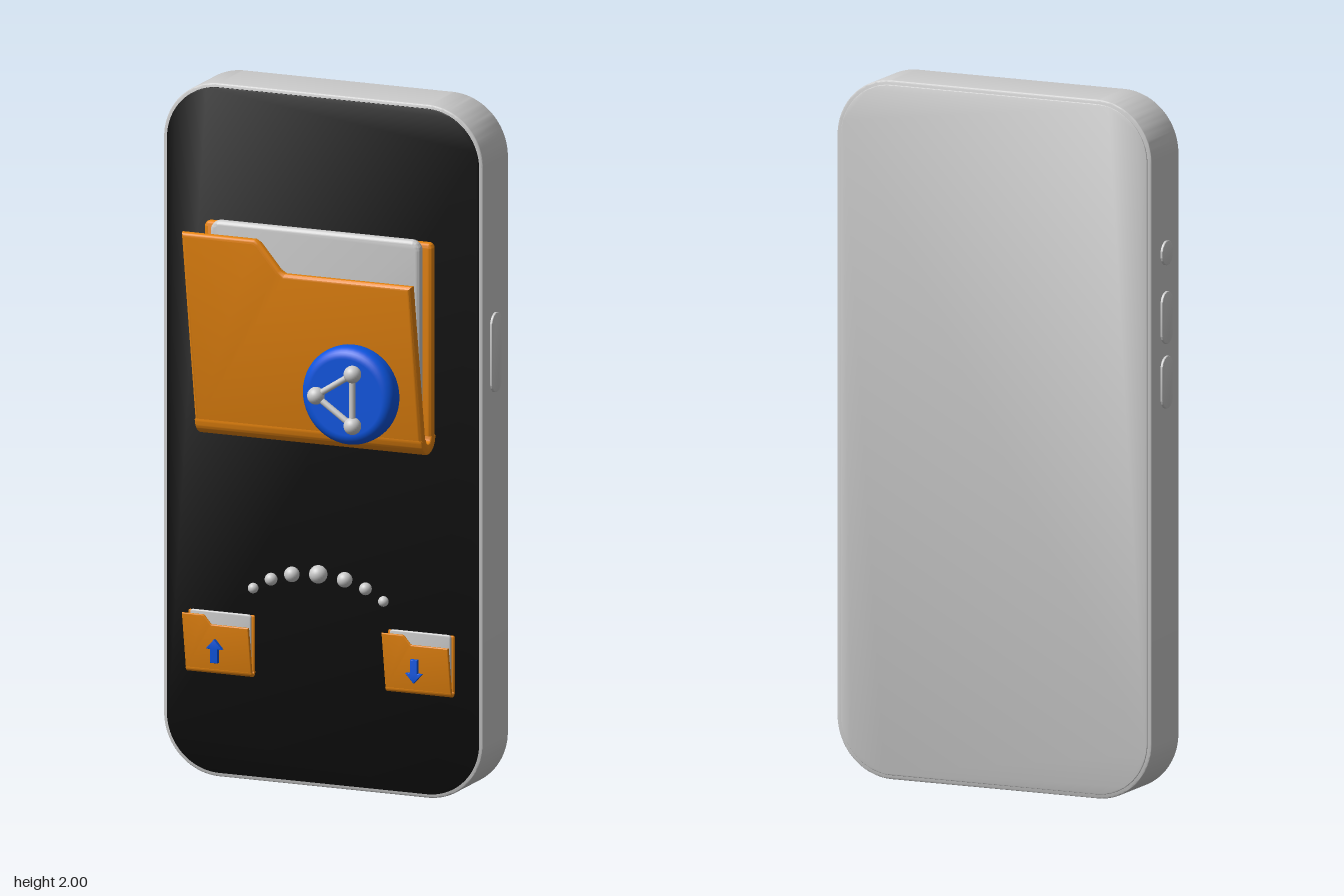
import * as THREE from 'three';
import { toCreasedNormals } from 'three/addons/utils/BufferGeometryUtils.js';

const mat = (color) => new THREE.MeshStandardMaterial({ color });
const grey = mat(0xcccccc), black = mat(0x0b0b0b), orange = mat(0xe8850f), blue = mat(0x0c55e0);

function add(parent, name, geometry, material) {
  const mesh = new THREE.Mesh(geometry, material);
  mesh.name = name;
  parent.add(mesh);
  return mesh;
}

// Rectangle with rounded corners, centred on (cx, cy)
function roundedRect(w, h, r, cx = 0, cy = 0) {
  const s = new THREE.Shape(), x = w / 2 - r, y = h / 2 - r;
  s.absarc(cx + x, cy + y, r, 0, Math.PI / 2);
  s.absarc(cx - x, cy + y, r, Math.PI / 2, Math.PI);
  s.absarc(cx - x, cy - y, r, Math.PI, Math.PI * 1.5);
  s.absarc(cx + x, cy - y, r, Math.PI * 1.5, Math.PI * 2);
  s.closePath();
  return s;
}

const polygon = (points) => new THREE.Shape(points.map(([x, y]) => new THREE.Vector2(x, y)));

// Plate from z0 to z1 with rounded rims; slope leans it forward with height
function plate(shape, z0, z1, bevel, slope = 0) {
  const g = new THREE.ExtrudeGeometry(shape, {
    depth: z1 - z0 - 2 * bevel, bevelEnabled: bevel > 0, bevelSize: bevel, bevelThickness: bevel,
    bevelOffset: -bevel, bevelSegments: 4, curveSegments: 16,
  });
  g.translate(0, 0, z0 + bevel);
  if (slope) {
    const p = g.attributes.position;
    for (let i = 0; i < p.count; i++) p.setZ(i, p.getZ(i) + slope * (p.getY(i) - 0.049));
  }
  return toCreasedNormals(g, 0.6);
}

// Open folder with a sheet inside; its base sits on y = 0
function folder(name) {
  const group = new THREE.Group();
  group.name = name;
  add(group, 'folderBack', plate(roundedRect(0.70, 0.575, 0.016, 0, 0.3175), -0.048, -0.016, 0.013), orange);
  const front = polygon([[-0.35, 0.03], [0.35, 0.03], [0.35, 0.51], [-0.04, 0.51],
    [-0.055, 0.52], [-0.11, 0.595], [-0.125, 0.605], [-0.35, 0.605]]);
  add(group, 'folderFront', plate(front, 0.018, 0.05, 0.013, 0.17), orange);
  // Bent strip joining the two covers
  const bend = new THREE.Shape();
  bend.absarc(0.001, 0.049, 0.049, Math.PI, Math.PI * 2, false);
  bend.absarc(0.001, 0.049, 0.017, Math.PI * 2, Math.PI, true);
  bend.closePath();
  const fold = plate(bend, -0.35, 0.35, 0.006);
  fold.rotateY(-Math.PI / 2);
  add(group, 'folderFold', fold, orange);
  add(group, 'paper', plate(roundedRect(0.645, 0.545, 0.03, 0.01, 0.347), -0.004, 0.028, 0.013), grey);
  return group;
}

export function createModel() {
  const model = new THREE.Group();
  model.name = 'phoneWithFolders';

  // Phone body, screen and back panel
  const phone = new THREE.Group();
  phone.name = 'phone';
  model.add(phone);
  add(phone, 'body', plate(roundedRect(0.98, 2, 0.17, 0, 1), -0.233, -0.055, 0.005), grey);
  add(phone, 'screen', plate(roundedRect(0.958, 1.978, 0.16, 0, 1), -0.07, -0.053, 0.001), black);
  add(phone, 'backPanel', plate(roundedRect(0.955, 1.975, 0.158, 0, 1), -0.236, -0.22, 0.002), grey);

  // Side buttons: [side, centre height, length]
  for (const [side, y, length] of [[1, 1.285, 0.23], [-1, 1.56, 0.07], [-1, 1.375, 0.15], [-1, 1.19, 0.15]]) {
    const g = plate(roundedRect(0.07, length, 0.0345), -0.01, 0.007, 0.003);
    g.rotateY(side * Math.PI / 2);
    add(phone, 'sideButton', g, grey).position.set(side * 0.49, y, -0.14);
  }

  // Large folder
  const large = folder('largeFolder');
  large.position.y = 1.005;
  model.add(large);

  // Round badge
  const badge = new THREE.Group();
  badge.name = 'shareBadge';
  model.add(badge);
  const profile = [new THREE.Vector2(0, 0)], r = 0.032;
  for (const [y, a0] of [[r, -Math.PI / 2], [0.079 - r, 0]]) {
    for (let i = 0; i <= 8; i++) {
      const a = a0 + (i / 8) * Math.PI / 2;
      profile.push(new THREE.Vector2(0.142 - r + r * Math.cos(a), y + r * Math.sin(a)));
    }
  }
  profile.push(new THREE.Vector2(0, 0.079));
  const disc = new THREE.LatheGeometry(profile, 48);
  disc.rotateX(Math.PI / 2);
  add(badge, 'badgeDisc', disc, blue).position.set(0.175, 1.194, 0.106);

  // Triangle of balls and rods in front of the badge
  const nodes = [[0.206, 1.268], [0.206, 1.119], [0.094, 1.196]].map(([x, y]) => new THREE.Vector3(x, y, 0.207));
  nodes.forEach((a, i) => {
    const b = nodes[(i + 1) % 3];
    add(badge, 'ball', new THREE.SphereGeometry(0.025, 24, 16), grey).position.copy(a);
    const rod = add(badge, 'rod', new THREE.CylinderGeometry(0.009, 0.009, a.distanceTo(b), 16), grey);
    rod.position.copy(a).lerp(b, 0.5);
    rod.quaternion.setFromUnitVectors(new THREE.Vector3(0, 1, 0), b.clone().sub(a).normalize());
  });

  // Arc of dots, largest in the middle
  [[0, 0.622, 0.026], [0.081, 0.614, 0.022], [0.145, 0.594, 0.018], [0.2, 0.563, 0.015]].forEach(([x, y, radius]) => {
    for (const side of x ? [-1, 1] : [1]) {
      add(model, 'transferDot', new THREE.SphereGeometry(radius, 24, 16), grey).position.set(side * x, y, -0.021);
    }
  });

  // Small folders, one with an up arrow and one with a down arrow
  const arrow = polygon([[-0.011, -0.034], [0.011, -0.034], [0.011, 0.006], [0.025, 0.006],
    [0, 0.034], [-0.025, 0.006], [-0.011, 0.006]]);
  for (const [name, x, turn] of [['uploadFolder', -0.308, 0], ['downloadFolder', 0.305, Math.PI]]) {
    const small = folder(name);
    small.scale.setScalar(0.29);
    small.position.set(x, 0.302, -0.039);
    model.add(small);
    const mark = add(model, name + 'Arrow', plate(arrow, -0.004, 0.009, 0.001), blue);
    mark.position.set(x, 0.376, 0);
    mark.rotation.z = turn;
  }
  return model;
}
